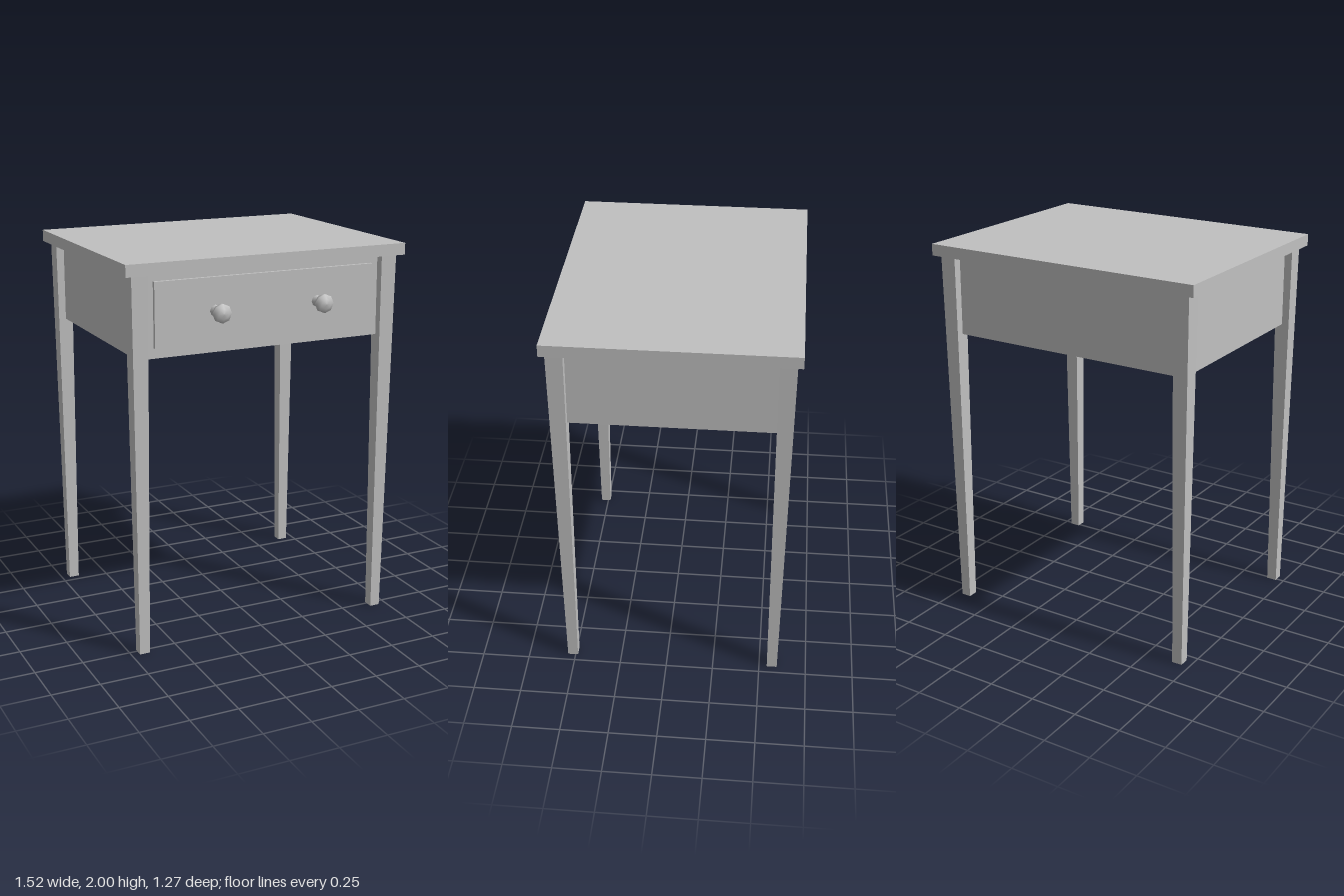
import * as THREE from 'three';

export function createModel() {
  const table = new THREE.Group();
  table.name = 'sideTable';
  const paint = new THREE.MeshStandardMaterial({ name: 'plain grey', color: 0xc0c0c0 });

  const add = (name, geometry, x, y, z) => {
    const mesh = new THREE.Mesh(geometry, paint);
    mesh.name = name;
    mesh.position.set(x, y, z);
    table.add(mesh);
    return mesh;
  };
  // Box given by its limits on each axis
  const box = (name, [x0, x1], [y0, y1], [z0, z1]) => add(
    name, new THREE.BoxGeometry(x1 - x0, y1 - y0, z1 - z0),
    (x0 + x1) / 2, (y0 + y1) / 2, (z0 + z1) / 2);

  // Overhanging top, and the case set back from the outer leg faces
  box('tableTop', [-0.76, 0.76], [1.94, 2], [-0.637, 0.58]);
  box('case', [-0.682, 0.682], [1.525, 1.94], [-0.569, 0.514]);
  box('drawerFront', [-0.598, 0.598], [1.577, 1.9], [0.5, 0.532]);

  // Square legs tapering towards the floor
  const legHeight = 1.94, topWidth = 0.085, footWidth = 0.054;
  const leg = new THREE.BoxGeometry(topWidth, legHeight, topWidth);
  const p = leg.attributes.position;
  for (let i = 0; i < p.count; i++) {
    if (p.getY(i) < 0) {
      p.setX(i, Math.sign(p.getX(i)) * footWidth / 2);
      p.setZ(i, Math.sign(p.getZ(i)) * footWidth / 2);
    }
  }
  leg.computeVertexNormals();

  // Eight-sided turned knob, pointing forwards
  const profile = [
    [0.03, 0], [0.024, 0.02], [0.025, 0.05], [0.048, 0.068],
    [0.048, 0.086], [0.026, 0.1], [0, 0.104],
  ].map(([r, h]) => new THREE.Vector2(r, h));
  const knob = new THREE.LatheGeometry(profile, 8).rotateX(Math.PI / 2);

  for (const [side, s] of [['left', 1], ['right', -1]]) {
    add(side + 'FrontLeg', leg, s * 0.681, legHeight / 2, 0.514);
    add(side + 'BackLeg', leg, s * 0.681, legHeight / 2, -0.569);
    add(side + 'Knob', knob, s * 0.28, 1.735, 0.53);
  }
  return table;
}
